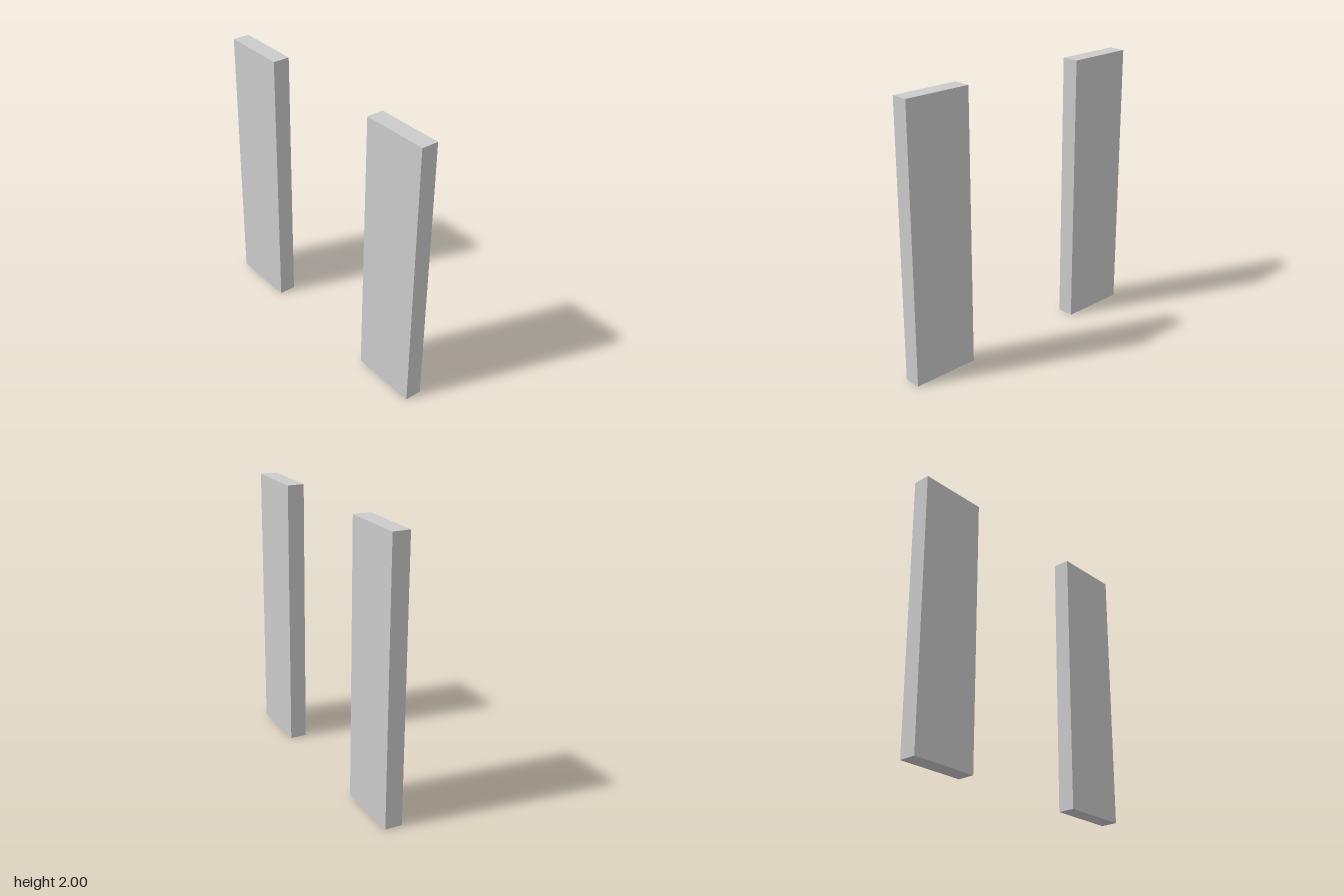
import * as THREE from 'three';

const WIDTH = 0.5, HEIGHT = 2, DEPTH = 0.125;

export function createModel() {
  const model = new THREE.Group();
  const material = new THREE.MeshStandardMaterial({ color: 0xcccccc });
  const geometry = new THREE.BoxGeometry(WIDTH, HEIGHT, DEPTH);

  // Two matching upright panels with a gap between them
  for (const [name, side] of [['leftPanel', 1], ['rightPanel', -1]]) {
    const panel = new THREE.Mesh(geometry, material);
    panel.name = name;
    panel.position.set(side * (1 - WIDTH / 2), HEIGHT / 2, 0);
    model.add(panel);
  }
  return model;
}
